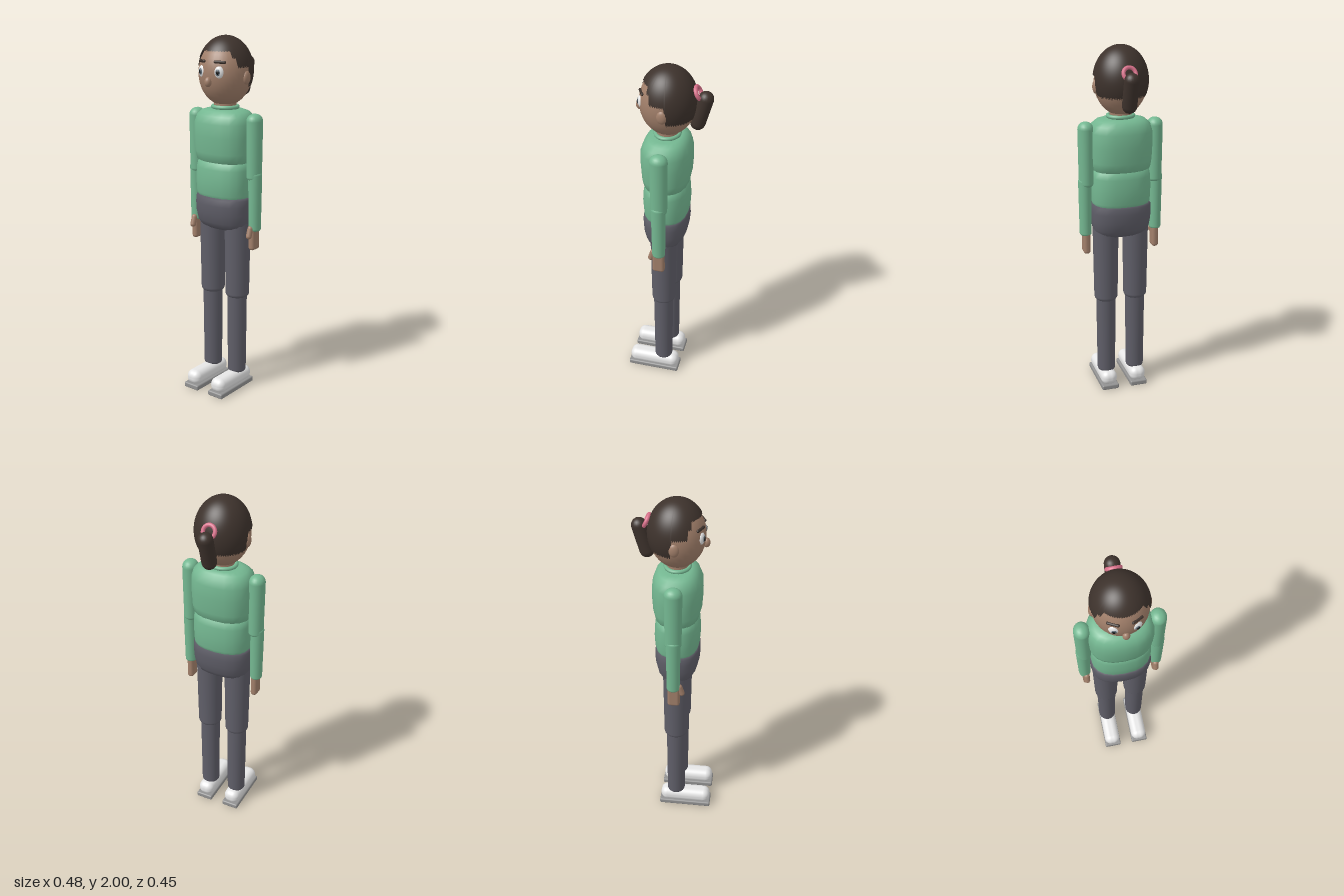
import * as THREE from 'three';
import { RoundedBoxGeometry } from 'three/addons/geometries/RoundedBoxGeometry.js';

const mat = (name, color, side = THREE.FrontSide) => {
  const m = new THREE.MeshStandardMaterial({ color, side });
  m.name = name;
  return m;
};

// Closed body section from rings [y, halfWidth, zFront, zBack], with superellipse outlines
function loft(rings, seg = 20, power = 2.4) {
  const pos = [], index = [];
  const round = (v) => Math.sign(v) * Math.pow(Math.abs(v), 2 / power);
  for (const [y, hx, zf, zb] of rings) {
    for (let i = 0; i < seg; i++) {
      const a = (i / seg) * Math.PI * 2;
      pos.push(hx * round(Math.sin(a)), y, (zf + zb) / 2 + ((zf - zb) / 2) * round(Math.cos(a)));
    }
  }
  for (let r = 0; r < rings.length - 1; r++) {
    for (let i = 0; i < seg; i++) {
      const a = r * seg + i, b = r * seg + ((i + 1) % seg);
      index.push(a, b, b + seg, a, b + seg, a + seg);
    }
  }
  const g = new THREE.BufferGeometry();
  g.setAttribute('position', new THREE.Float32BufferAttribute(pos, 3));
  g.setIndex(index);
  g.computeVertexNormals();
  return g;
}

// Tapered upright limb with rounded ends of height e0 (bottom) and e1 (top)
function limb(y0, y1, r0, r1, e0, e1) {
  const pts = [], n = 6;
  for (let i = 0; i <= n; i++) {
    const a = (i / n) * Math.PI / 2;
    pts.push(new THREE.Vector2(r0 - e0 + e0 * Math.sin(a), y0 + e0 * (1 - Math.cos(a))));
  }
  for (let i = 0; i <= n; i++) {
    const a = (i / n) * Math.PI / 2;
    pts.push(new THREE.Vector2(r1 - e1 + e1 * Math.cos(a), y1 - e1 * (1 - Math.sin(a))));
  }
  pts.unshift(new THREE.Vector2(0, y0));
  pts.push(new THREE.Vector2(0, y1));
  return new THREE.LatheGeometry(pts, 24);
}

// Capsule between two points
function capsule(a, b, r) {
  const p = new THREE.Vector3(...a), d = new THREE.Vector3(...b).sub(p);
  const g = new THREE.CapsuleGeometry(r, d.length(), 8, 20);
  g.applyQuaternion(new THREE.Quaternion().setFromUnitVectors(new THREE.Vector3(0, 1, 0), d.clone().normalize()));
  return g.translate(p.x + d.x / 2, p.y + d.y / 2, p.z + d.z / 2);
}

// Unit hair cap with a stepped hairline: high brow, short sides, low back
function hairCap(center, ry) {
  const g = new THREE.SphereGeometry(1, 96, 24);
  const p = g.attributes.position, uv = g.attributes.uv;
  for (let i = 0; i < p.count; i++) {
    const phi = uv.getX(i) * Math.PI * 2;
    const fromFront = THREE.MathUtils.radToDeg(Math.acos(THREE.MathUtils.clamp(Math.sin(phi), -1, 1)));
    const hem = fromFront < 52 ? 1.92 : fromFront < 62 ? 1.885 : fromFront < 97 ? 1.835 : 1.73;
    const t = (1 - uv.getY(i)) * Math.acos((hem - center) / ry);
    const x = -Math.cos(phi) * Math.sin(t), y = Math.cos(t), z = Math.sin(phi) * Math.sin(t);
    p.setXYZ(i, x, y, z);
    g.attributes.normal.setXYZ(i, x, y, z);
  }
  return g;
}

export function createModel() {
  const shirt = mat('green shirt', 0x74b791);
  const trousers = mat('grey trousers', 0x5f5e68);
  const skin = mat('skin', 0xa17f6a);
  const hair = mat('dark hair', 0x3d322c, THREE.DoubleSide);
  const white = mat('white', 0xe6e6e6);
  const sole = mat('sole grey', 0x929292);
  const pink = mat('pink band', 0xd8708a);
  const irisGrey = mat('iris grey', 0x66747f);
  const black = mat('pupil black', 0x141414);

  const model = new THREE.Group();
  model.name = 'standingFigure';
  const add = (name, geometry, material, pos = [0, 0, 0], scale = [1, 1, 1], parent = model) => {
    const m = new THREE.Mesh(geometry, material);
    m.name = name;
    m.position.set(...pos);
    m.scale.set(...scale);
    parent.add(m);
    return m;
  };
  const ball = new THREE.SphereGeometry(1, 32, 20);

  // Torso in three overlapping sections
  add('chest', loft([
    [1.32, 0, 0.013, 0.013], [1.32, 0.14, 0.11, -0.085], [1.335, 0.163, 0.132, -0.106],
    [1.38, 0.17, 0.143, -0.116], [1.47, 0.174, 0.149, -0.122], [1.54, 0.172, 0.146, -0.119],
    [1.58, 0.16, 0.13, -0.106], [1.602, 0.135, 0.108, -0.085], [1.612, 0.1, 0.085, -0.062],
    [1.614, 0, 0.012, 0.012],
  ]), shirt);
  add('waist', loft([
    [1.11, 0, 0.013, 0.013], [1.11, 0.155, 0.12, -0.095], [1.15, 0.163, 0.134, -0.107],
    [1.22, 0.166, 0.139, -0.111], [1.29, 0.164, 0.134, -0.107], [1.325, 0.157, 0.124, -0.098],
    [1.345, 0.13, 0.1, -0.075], [1.345, 0, 0.013, 0.013],
  ]), shirt);
  add('hips', loft([
    [0.948, 0, 0.014, 0.014], [0.948, 0.115, 0.085, -0.055], [0.962, 0.145, 0.105, -0.076],
    [0.99, 0.16, 0.122, -0.093], [1.04, 0.168, 0.135, -0.105], [1.09, 0.17, 0.139, -0.109],
    [1.125, 0.168, 0.136, -0.107], [1.142, 0.158, 0.125, -0.097], [1.145, 0, 0.014, 0.014],
  ]), trousers);

  // Neck and collar
  add('neck', new THREE.CylinderGeometry(0.06, 0.06, 0.1, 24), skin, [0, 1.63, 0.012]);
  const collarRing = new THREE.TorusGeometry(0.067, 0.011, 10, 32).rotateX(Math.PI / 2);
  add('collar', collarRing, shirt, [0, 1.622, 0.012], [1.03, 1, 0.94]);

  // Head, nose and hair
  add('head', ball, skin, [0, 1.804, 0.01], [0.143, 0.178, 0.148]);
  add('nose', ball, skin, [0, 1.766, 0.159], [0.019, 0.026, 0.019]);
  add('hairCap', hairCap(1.815, 0.185), hair, [0, 1.815, 0.008], [0.149, 0.185, 0.153]);
  add('ponytail', capsule([0, 1.705, -0.147], [0, 1.843, -0.186], 0.04), hair);
  const band = add('hairBand', new THREE.TorusGeometry(0.033, 0.011, 10, 28), pink, [0, 1.872, -0.147]);
  band.rotation.x = 0.45;

  for (const s of [1, -1]) {
    const side = s > 0 ? 'left' : 'right';

    // Ear, eye and brow
    add(side + 'Ear', ball, skin, [s * 0.139, 1.785, 0.008], [0.016, 0.036, 0.027]);
    const eye = new THREE.Group();
    eye.name = side + 'Eye';
    eye.position.set(s * 0.055, 1.817, 0.135);
    eye.rotation.y = s * 0.3;
    model.add(eye);
    add('eyeWhite', ball, white, [0, 0, 0], [0.027, 0.034, 0.018], eye);
    add('iris', ball, irisGrey, [-s * 0.002, 0, 0.014], [0.014, 0.018, 0.006], eye);
    add('pupil', ball, black, [-s * 0.002, 0, 0.018], [0.008, 0.011, 0.004], eye);
    add(side + 'Brow', capsule([s * 0.036, 1.871, 0.144], [s * 0.08, 1.869, 0.121], 0.008), hair);

    // Arm and hand
    add(side + 'UpperArm', limb(1.24, 1.6, 0.04, 0.043, 0.02, 0.04), shirt, [s * 0.196, 0, 0.011], [1, 1, 1.12]);
    add(side + 'Forearm', limb(0.958, 1.29, 0.033, 0.037, 0.014, 0.02), shirt, [s * 0.203, 0, 0.012], [1, 1, 1.08]);
    add(side + 'Hand', new RoundedBoxGeometry(0.037, 0.15, 0.068, 4, 0.016), skin, [s * 0.2, 0.926, 0.014]);
    add(side + 'Thumb', capsule([s * 0.197, 0.935, 0.058], [s * 0.197, 0.975, 0.045], 0.016), skin);

    // Leg
    add(side + 'Thigh', limb(0.552, 1.03, 0.067, 0.073, 0.025, 0.03), trousers, [s * 0.087, 0, 0.014]);
    add(side + 'Shin', limb(0.093, 0.62, 0.052, 0.056, 0.018, 0.02), trousers, [s * 0.087, 0, 0.016]);

    // Shoe
    add(side + 'Shoe', new RoundedBoxGeometry(0.094, 0.084, 0.295, 6, 0.038), white, [s * 0.087, 0.063, 0.073]);
    add(side + 'Sole', new RoundedBoxGeometry(0.1, 0.03, 0.305, 3, 0.008), sole, [s * 0.087, 0.015, 0.073]);
  }
  return model;
}
